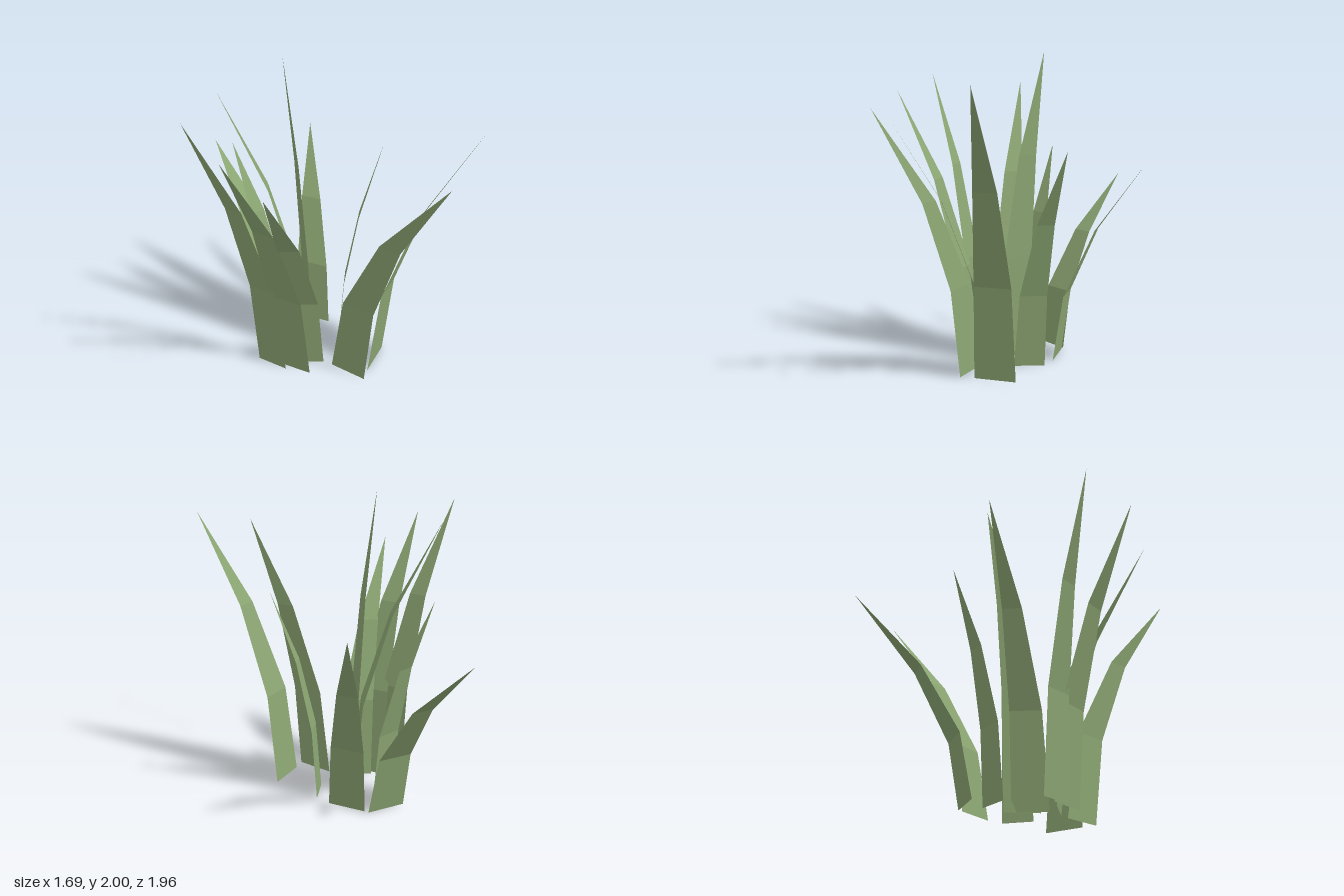
import * as THREE from 'three';

// Each blade: two base corners (x, z), then the tip (x, y, z)
const BLADES = [
  [-0.17, -0.38, -0.41, -0.29, -0.63, 1.14, -0.98],
  [0.06, -0.22, -0.15, -0.36, 0.04, 1.27, -0.87],
  [-0.22, -0.24, -0.38, -0.12, -0.54, 1.37, -0.43],
  [0.08, 0.05, 0.13, -0.14, 0.41, 1.40, -0.18],
  [-0.12, -0.08, -0.14, 0.14, -0.63, 1.81, -0.22],
  [-0.13, -0.125, -0.11, 0.09, -0.22, 2.0, -0.25],
  [-0.47, 0.10, -0.31, 0.24, -0.85, 1.87, 0.36],
  [-0.36, 0.16, -0.16, 0.31, -0.67, 1.75, 0.64],
  [-0.28, 0.175, -0.05, 0.21, -0.46, 1.56, 0.73],
  [0.0, 0.25, 0.18, 0.43, 0.48, 1.67, 0.98],
  [0.22, 0.35, 0.37, 0.13, 0.84, 1.79, 0.52],
];
const SEGMENTS = 3;

// A flat strip that bends outward and narrows to a point, both with t squared
function bladeGeometry([ax, az, bx, bz, tx, ty, tz]) {
  const points = [];
  const faces = [];
  for (let i = 0; i < SEGMENTS; i++) {
    const t = i / SEGMENTS;
    const k = t * t;
    points.push(ax + (tx - ax) * k, ty * t, az + (tz - az) * k);
    points.push(bx + (tx - bx) * k, ty * t, bz + (tz - bz) * k);
    const a = i * 2;
    faces.push(a, a + 1, a + 2);
    if (i < SEGMENTS - 1) faces.push(a + 1, a + 3, a + 2);
  }
  points.push(tx, ty, tz);
  const indexed = new THREE.BufferGeometry();
  indexed.setAttribute('position', new THREE.Float32BufferAttribute(points, 3));
  indexed.setIndex(faces);
  const geometry = indexed.toNonIndexed();
  geometry.computeVertexNormals();
  return geometry;
}

export function createModel() {
  const group = new THREE.Group();
  group.name = 'grassTuft';
  const green = new THREE.MeshStandardMaterial({
    color: 0x8ca673, flatShading: true, side: THREE.DoubleSide,
  });
  green.name = 'leaf green';
  BLADES.forEach((blade, i) => {
    const mesh = new THREE.Mesh(bladeGeometry(blade), green);
    mesh.name = `grassBlade${i + 1}`;
    group.add(mesh);
  });
  return group;
}
